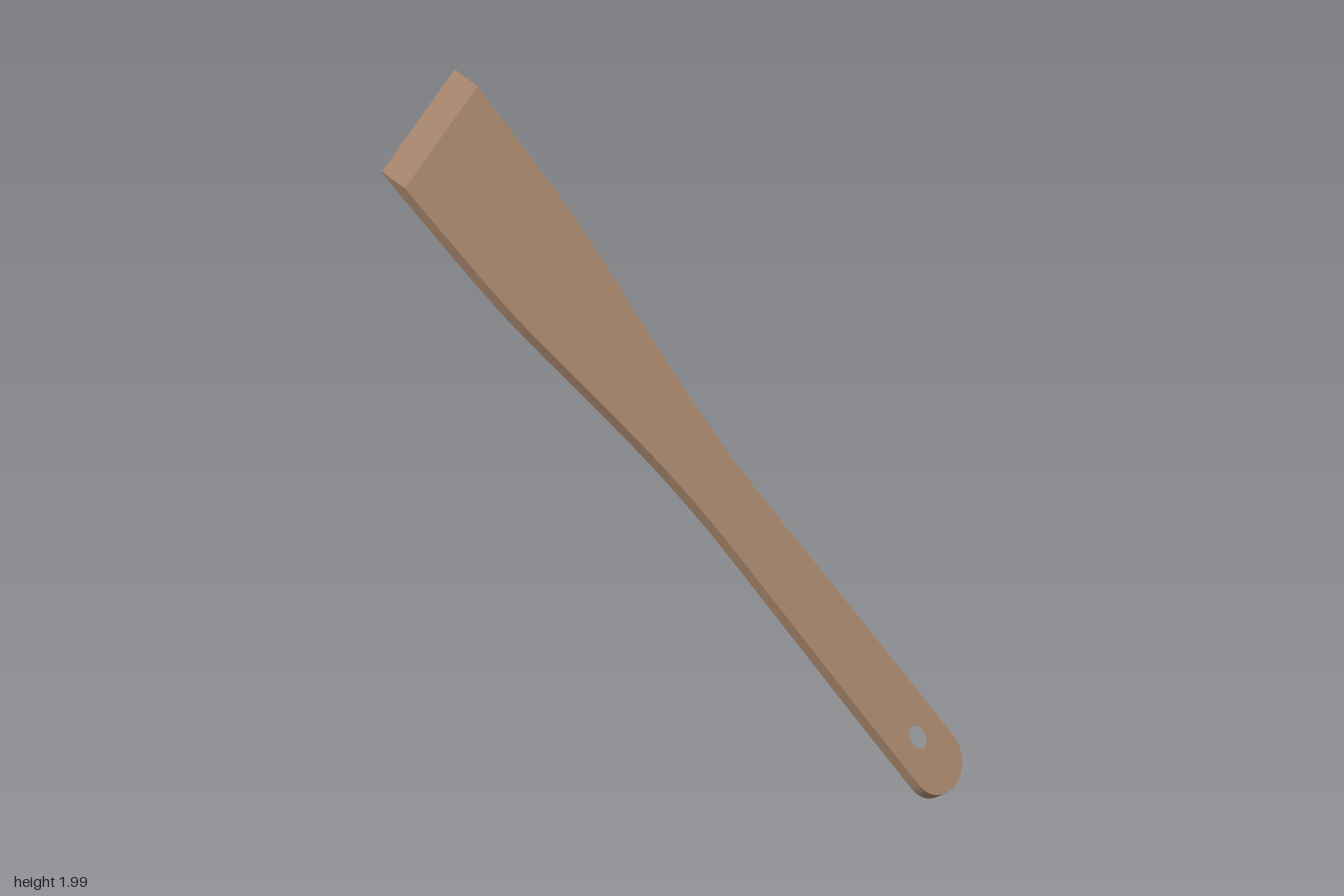
import * as THREE from 'three';
import { toCreasedNormals } from 'three/addons/utils/BufferGeometryUtils.js';

const THICK = 0.03;
const BEVEL = 0.07; // length of the sharpened tip

// Removes the hidden wall where blade and tip meet
function dropSeam(geometry) {
  const p = geometry.toNonIndexed().attributes.position;
  const kept = [];
  for (let i = 0; i < p.count; i += 3) {
    const onSeam = [0, 1, 2].every((k) => Math.abs(p.getY(i + k) + BEVEL) < 1e-5);
    if (onSeam) continue;
    for (let k = 0; k < 3; k++) kept.push(p.getX(i + k), p.getY(i + k), p.getZ(i + k));
  }
  const out = new THREE.BufferGeometry();
  out.setAttribute('position', new THREE.Float32BufferAttribute(kept, 3));
  return toCreasedNormals(out, 0.55);
}

function extrude(shape) {
  return new THREE.ExtrudeGeometry(shape, { depth: THICK, bevelEnabled: false, curveSegments: 12 });
}

export function createModel() {
  const wood = new THREE.MeshStandardMaterial({ color: 0xaa886e });
  wood.name = 'wood';

  // Half width along the length, from tip to handle
  const side = new THREE.SplineCurve([
    [0.233, 0.07], [0.224, 0.3], [0.208, 0.55], [0.16, 0.87], [0.138, 1.02],
    [0.119, 1.18], [0.107, 1.39], [0.109, 1.7], [0.112, 2.05], [0.112, 2.29],
  ].map(([w, l]) => new THREE.Vector2(w, -l))).getPoints(40);

  // Blade and handle: mirrored outline, gently rounded end, hanging hole
  const outline = new THREE.Shape();
  outline.moveTo(side[0].x, side[0].y);
  side.slice(1).forEach((p) => outline.lineTo(p.x, p.y));
  outline.quadraticCurveTo(0.108, -2.328, 0.076, -2.35);
  outline.quadraticCurveTo(0, -2.396, -0.076, -2.35);
  outline.quadraticCurveTo(-0.108, -2.328, -0.112, -2.29);
  side.slice(0, -1).reverse().forEach((p) => outline.lineTo(-p.x, p.y));
  const hole = new THREE.Path();
  hole.absarc(0, -2.204, 0.032, 0, Math.PI * 2, true);
  outline.holes.push(hole);
  const body = new THREE.Mesh(dropSeam(extrude(outline)), wood);
  body.name = 'bladeAndHandle';

  // Sharpened tip: front face slopes down to a thin edge
  const w = side[0].x;
  const tipShape = new THREE.Shape([
    new THREE.Vector2(-w, -BEVEL), new THREE.Vector2(w, -BEVEL),
    new THREE.Vector2(0.234, 0), new THREE.Vector2(-0.234, 0),
  ]);
  const tipGeometry = extrude(tipShape);
  const pos = tipGeometry.attributes.position;
  for (let i = 0; i < pos.count; i++) {
    if (pos.getY(i) > -0.001 && pos.getZ(i) > 0.01) pos.setZ(i, 0.002);
  }
  const tip = new THREE.Mesh(dropSeam(tipGeometry), wood);
  tip.name = 'bevelledTip';

  // Lean the spatula back and to the side
  const across = new THREE.Vector3(0.892, 0.323, -0.312).normalize();
  const normal = new THREE.Vector3(0.423, -0.806, 0.415).cross(across).normalize();
  const up = new THREE.Vector3().crossVectors(normal, across);
  const spatula = new THREE.Group();
  spatula.name = 'spatula';
  spatula.add(body, tip);
  spatula.quaternion.setFromRotationMatrix(new THREE.Matrix4().makeBasis(across, up, normal));
  spatula.position.set(-0.435, 1.925, -0.457);

  const model = new THREE.Group();
  model.add(spatula);
  // Centre the model and stand it on the ground
  const box = new THREE.Box3().setFromObject(model, true);
  const c = box.getCenter(new THREE.Vector3());
  spatula.position.sub(new THREE.Vector3(c.x, box.min.y, c.z));
  return model;
}
